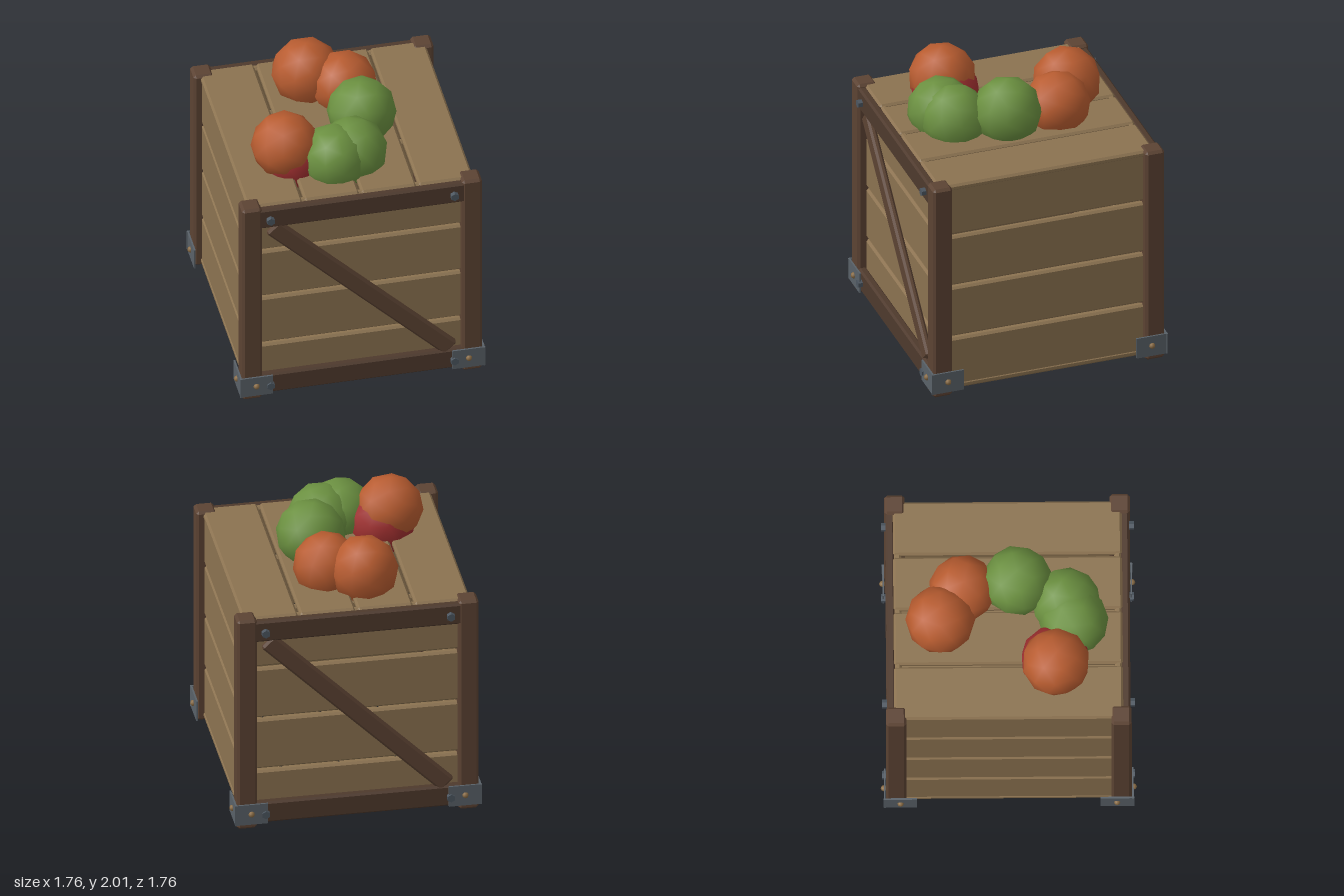
import * as THREE from 'three';
import { ConvexGeometry } from 'three/addons/geometries/ConvexGeometry.js';

const mat = (name, color) => {
  const m = new THREE.MeshStandardMaterial({ color });
  m.name = name;
  return m;
};

// Box with chamfered edges and corners
function chamferBox(w, h, d, b) {
  const pts = [];
  for (const x of [-1, 1]) for (const y of [-1, 1]) for (const z of [-1, 1]) {
    const [X, Y, Z] = [w / 2, h / 2, d / 2];
    pts.push(
      new THREE.Vector3(x * X, y * (Y - b), z * (Z - b)),
      new THREE.Vector3(x * (X - b), y * Y, z * (Z - b)),
      new THREE.Vector3(x * (X - b), y * (Y - b), z * Z));
  }
  return new ConvexGeometry(pts);
}

export function createModel() {
  const plankWood = mat('plank wood', 0x8b7250);
  const postWood = mat('post wood', 0x5c4333);
  const railWood = mat('rail wood', 0x4e392c);
  const steel = mat('steel', 0x596168);
  const boltSteel = mat('bolt steel', 0x4c5660);
  const brass = mat('brass', 0x8a6c45);
  const orange = mat('orange skin', 0xb85c30);
  const green = mat('green skin', 0x6b9040);
  const red = mat('red skin', 0x9e2f2f);

  const model = new THREE.Group();
  model.name = 'fruitCrate';
  const add = (parent, name, geo, material, x, y, z) => {
    const m = new THREE.Mesh(geo, material);
    m.name = name;
    m.position.set(x, y, z);
    parent.add(m);
    return m;
  };

  // Lid and floor boards run front to back, wall boards run level
  const flatBoard = chamferBox(0.385, 0.05, 1.57, 0.015);
  const frontBoard = chamferBox(1.46, 0.385, 0.05, 0.015);
  const sideBoard = chamferBox(0.05, 0.385, 1.46, 0.015);
  for (let i = 0; i < 4; i++) {
    const x = -0.6 + i * 0.4, y = 0.222 + i * 0.402;
    add(model, 'lidBoard', flatBoard, plankWood, x, 1.605, 0);
    add(model, 'floorBoard', flatBoard, plankWood, x, 0.045, 0);
    for (const s of [-1, 1]) {
      add(model, 'sideBoard', sideBoard, plankWood, s * 0.762, y, 0);
      add(model, 'endBoard', frontBoard, plankWood, 0, y, s * 0.755);
    }
  }

  // Corner posts
  const post = chamferBox(0.14, 1.64, 0.14, 0.018);
  for (const x of [-1, 1]) for (const z of [-1, 1])
    add(model, 'cornerPost', post, postWood, x * 0.772, 0.82, z * 0.772);

  // Framed face with rails, brace and hex bolts; the back is the front turned round
  const rail = chamferBox(1.46, 0.16, 0.06, 0.014);
  const brace = chamferBox(1.77, 0.13, 0.05, 0.016);
  const hexBolt = new THREE.CylinderGeometry(0.03, 0.03, 0.04, 6).toNonIndexed();
  hexBolt.rotateX(Math.PI / 2);
  hexBolt.computeVertexNormals();
  for (const turn of [0, Math.PI]) {
    const face = new THREE.Group();
    face.name = turn ? 'backFrame' : 'frontFrame';
    face.rotation.y = turn;
    model.add(face);
    add(face, 'diagonalBrace', brace, postWood, 0, 0.825, 0.805).rotation.z = -Math.PI / 4;
    for (const y of [0.115, 1.538]) {
      add(face, 'rail', rail, railWood, 0, y, 0.805);
      for (const s of [-1, 1])
        add(face, 'railBolt', hexBolt, boltSteel, s * 0.645, y - 0.004, 0.847);
    }
  }

  // Folded steel brackets with domed studs on the four lower corners
  const plateX = new THREE.BoxGeometry(0.23, 0.155, 0.012);
  const plateZ = new THREE.BoxGeometry(0.012, 0.155, 0.23);
  const stud = new THREE.SphereGeometry(0.022, 8, 6);
  for (const x of [-1, 1]) for (const z of [-1, 1]) {
    const bracket = new THREE.Group();
    bracket.name = 'cornerBracket';
    model.add(bracket);
    add(bracket, 'bracketFace', plateX, steel, x * 0.745, 0.12, z * 0.85);
    add(bracket, 'bracketSide', plateZ, steel, x * 0.852, 0.12, z * 0.744);
    add(bracket, 'stud', stud, brass, x * 0.745, 0.123, z * 0.856);
    add(bracket, 'stud', stud, brass, x * 0.858, 0.123, z * 0.742);
  }

  // Heap of fruit: material, x, y, z, radius
  const fruitGeo = new THREE.IcosahedronGeometry(1, 1);
  [
    [orange, -0.11, 1.752, -0.465, 0.24],
    [orange, 0.125, 1.725, -0.31, 0.233],
    [green, 0.165, 1.765, 0.065, 0.242],
    [green, 0.03, 1.7, 0.4, 0.24],
    [green, -0.105, 1.7, 0.45, 0.238],
    [orange, -0.43, 1.765, 0.325, 0.236],
    [red, -0.375, 1.665, 0.32, 0.24],
  ].forEach(([m, x, y, z, r], i) => {
    const f = add(model, 'fruit', fruitGeo, m, x, y, z);
    f.scale.setScalar(r);
    f.rotation.set(i * 0.7, i * 1.3, i * 0.4);
  });

  return model;
}
